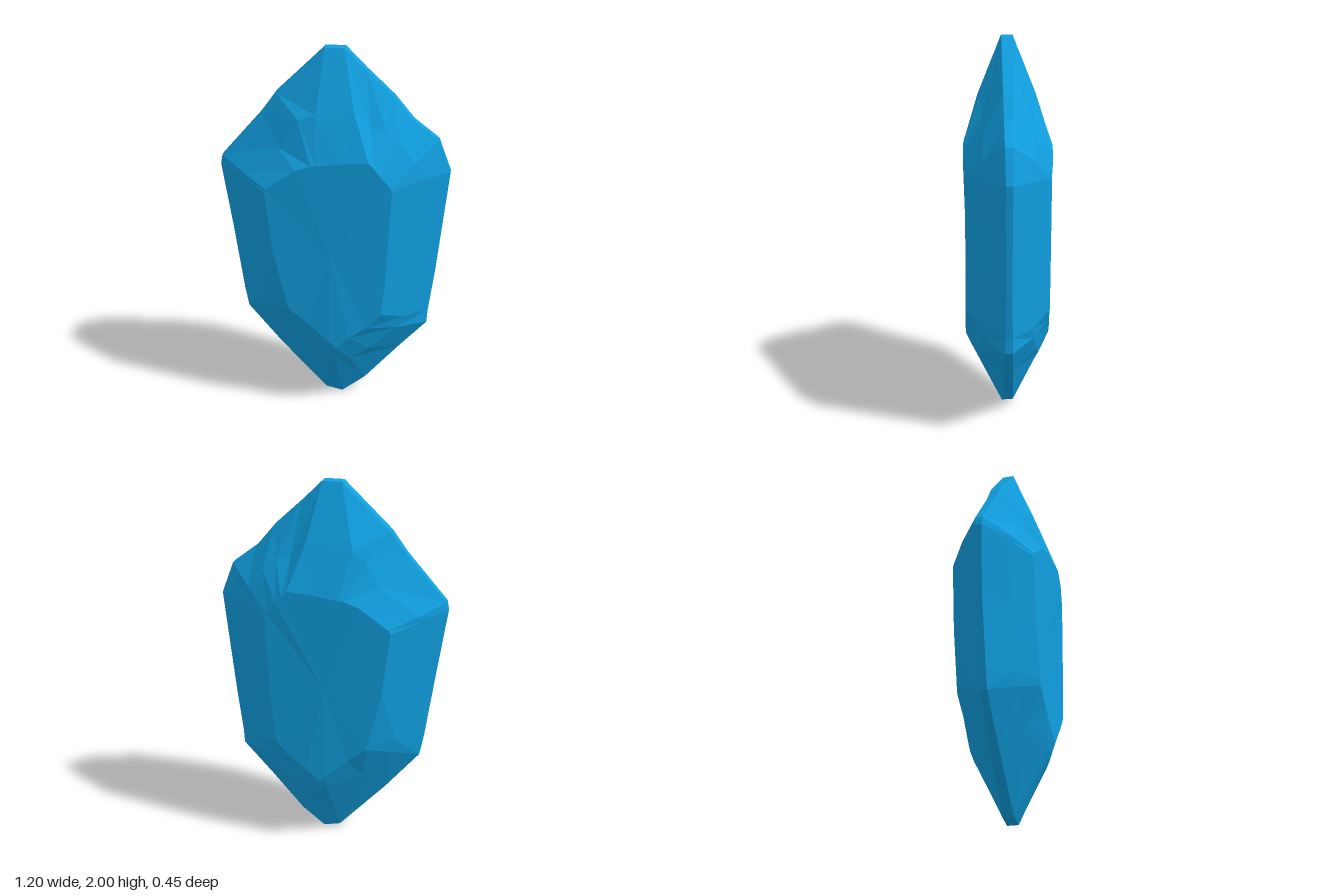
import * as THREE from 'three';

// Outlines of the gem, clockwise from the tip when facing it; all loops have the same count.
// Outer silhouette (x, y)
const RIM = [
  [0.05, 2], [0.16, 1.89], [0.3, 1.76], [0.4, 1.64], [0.53, 1.54], [0.595, 1.37], [0.54, 0.8], [0.51, 0.56],
  [0.505, 0.48], [0.36, 0.32], [0.17, 0.1], [0.045, 0], [-0.045, 0.02], [-0.3, 0.3], [-0.48, 0.52],
  [-0.5, 0.63], [-0.55, 1], [-0.6, 1.36], [-0.59, 1.41], [-0.38, 1.65], [-0.3, 1.76], [-0.05, 2],
];
// Bevel facets between silhouette and flat face (x, y, depth)
const BEVEL = [
  [0.11, 1.71, 0.143], [0.19, 1.63, 0.128], [0.27, 1.61, 0.12], [0.34, 1.55, 0.125], [0.42, 1.45, 0.125],
  [0.45, 1.355, 0.12], [0.41, 0.8, 0.12], [0.38, 0.57, 0.13], [0.35, 0.5, 0.13], [0.2, 0.37, 0.155],
  [0.1, 0.31, 0.168], [0.025, 0.34, 0.2], [-0.01, 0.36, 0.2], [-0.2, 0.42, 0.135], [-0.34, 0.58, 0.13],
  [-0.37, 0.65, 0.128], [-0.42, 1, 0.12], [-0.47, 1.33, 0.12], [-0.46, 1.36, 0.128], [-0.27, 1.51, 0.145],
  [-0.17, 1.66, 0.145], [-0.08, 1.69, 0.153],
];
// Edge of the flat face (x, y)
const FACE = [
  [0.07, 1.47], [0.19, 1.48], [0.22, 1.45], [0.25, 1.41], [0.3, 1.35], [0.31, 1.33], [0.285, 0.8], [0.265, 0.62],
  [0.19, 0.53], [0.1, 0.47], [0.065, 0.44], [0.03, 0.4], [0, 0.43], [-0.12, 0.54], [-0.22, 0.62],
  [-0.23, 0.65], [-0.3, 0.95], [-0.34, 1.29], [-0.33, 1.31], [-0.18, 1.42], [-0.1, 1.45], [-0.07, 1.45],
];
const N = RIM.length;

// The three loops of one side, side = 1 front, -1 back
function loopsFor(side) {
  const rim = RIM.map(([x, y]) => [x, y, side * (0.01 + 0.02 * Math.abs(y - 1))]);
  const bevel = BEVEL.map(([x, y, z]) => [x, y, side * z]);
  const face = FACE.map(([x, y]) => [x, y, side * (y > 1.4 || y < 0.5 ? 0.225 : 0.217)]);
  if (side < 0) {
    // The back has a second chipped notch beside the roof panel
    bevel[N - 2] = [-0.2, 1.63, -0.128];
    bevel[N - 1] = [-0.13, 1.69, -0.153];
  }
  return { rim, bevel, face };
}

function facetedMesh(name, triangles, material) {
  const geometry = new THREE.BufferGeometry();
  geometry.setAttribute('position', new THREE.Float32BufferAttribute(triangles.flat(2), 3));
  geometry.computeVertexNormals();
  const mesh = new THREE.Mesh(geometry, material);
  mesh.name = name;
  return mesh;
}

// Quads between two loops
function bridge(a, b) {
  const out = [];
  for (let i = 0; i < N; i++) {
    const j = (i + 1) % N;
    out.push([a[i], b[i], b[j]], [a[i], b[j], a[j]]);
  }
  return out;
}

export function createModel() {
  const group = new THREE.Group();
  group.name = 'crystal';
  const material = new THREE.MeshStandardMaterial({ color: 0x109fe0, flatShading: true });
  const front = loopsFor(1);
  const back = loopsFor(-1);

  for (const [label, side, loops] of [['front', 1, front], ['back', -1, back]]) {
    const orient = (tris) => (side > 0 ? tris : tris.map(([a, b, c]) => [a, c, b]));
    const centre = [0, 0.95, side * 0.22];
    const fan = loops.face.map((p, i) => [centre, loops.face[(i + 1) % N], p]);
    const bevels = [...bridge(loops.rim, loops.bevel), ...bridge(loops.bevel, loops.face)];
    group.add(facetedMesh(label + 'Bevels', orient(bevels), material));
    group.add(facetedMesh(label + 'Face', orient(fan), material));
  }

  // Narrow band joining both sides
  group.add(facetedMesh('edgeBand', bridge(back.rim, front.rim), material));
  return group;
}
